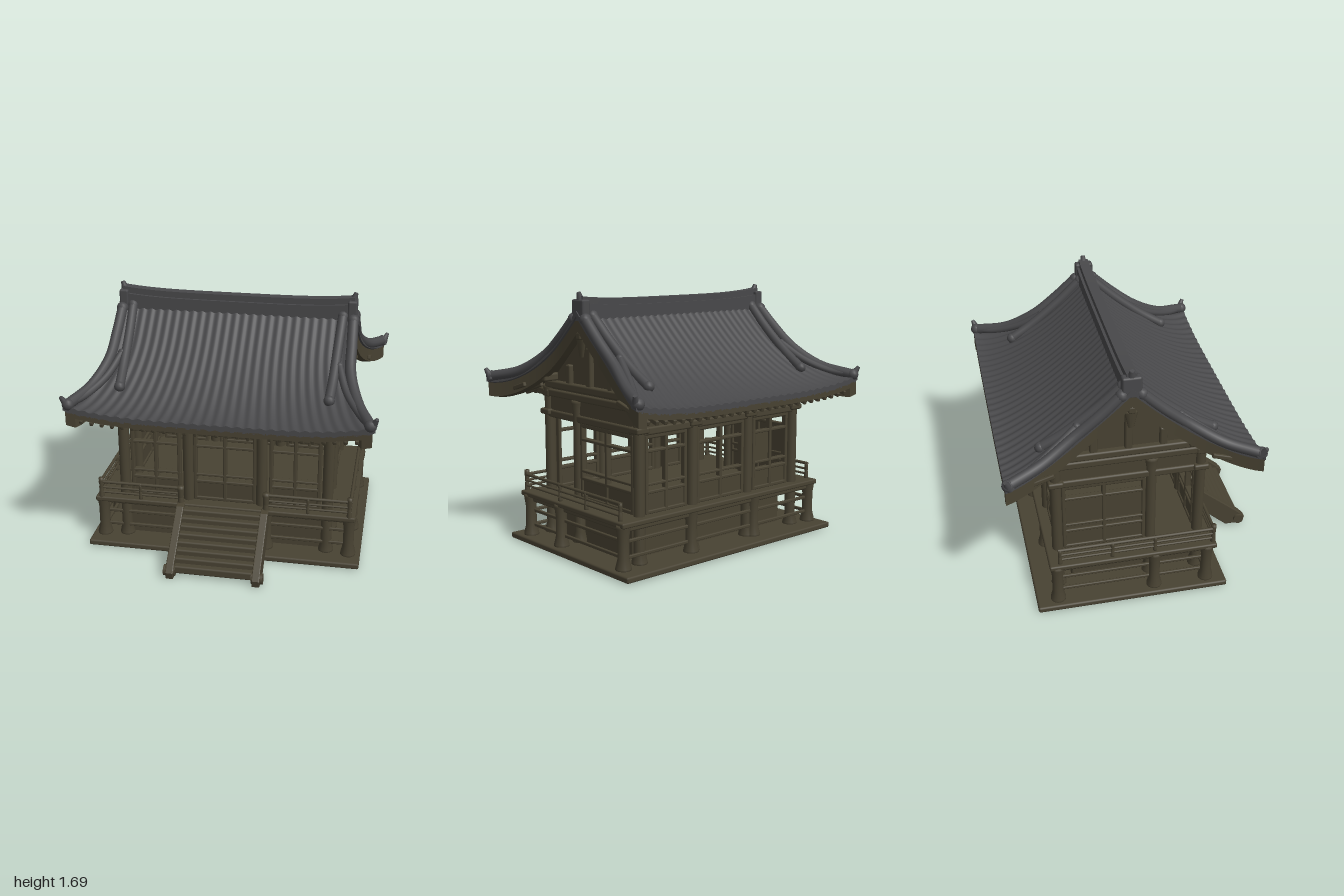
import * as THREE from 'three';
import { RoundedBoxGeometry } from 'three/addons/geometries/RoundedBoxGeometry.js';

const wood = new THREE.MeshStandardMaterial({ color: 0x484232 });
wood.name = 'dark weathered wood';
const tile = new THREE.MeshStandardMaterial({ color: 0x48484a });
tile.name = 'charcoal roof tile';

const MID = -0.07;   // z of the ridge
const RUN = 0.79;    // ridge to eave, in plan

function add(parent, name, geometry, material, x = 0, y = 0, z = 0) {
  const mesh = new THREE.Mesh(geometry, material);
  mesh.name = name;
  mesh.position.set(x, y, z);
  parent.add(mesh);
  return mesh;
}

function box(parent, name, w, h, d, x, y, z, material = wood) {
  const r = Math.min(0.012, Math.min(w, h, d) * 0.3);
  return add(parent, name, new RoundedBoxGeometry(w, h, d, 1, r), material, x, y, z);
}

// Round post that swells at both ends
function post(parent, name, x, z, y0, y1, r, foot = 1.4, head = 1.25) {
  const h = y1 - y0;
  const profile = [[0, 0], [r * foot, 0], [r * foot, 0.02], [r, 0.08], [r, h - 0.08], [r * head, h - 0.02], [r * head, h], [0, h]]
    .map(([a, b]) => new THREE.Vector2(a, b));
  return add(parent, name, new THREE.LatheGeometry(profile, 14), wood, x, y0, z);
}

// Roof shape: half width and height at distance d from the ridge
const halfWidth = (d) => 0.8 + 0.17 * Math.pow(Math.max(0, (d - 0.2) / 0.59), 1.8);
const roofY = (u, d) => 1.03 + 0.53 * Math.pow(Math.max(0, 1 - d / RUN), 1.5)
  + 0.06 * Math.pow(d / RUN, 3) * Math.pow(Math.abs(u), 4);

// Bends a box onto the roof shape, between two edges u0..u1 and two offsets
function roofLayer(parent, name, u0, u1, top, bottom, nx, material, ripple = 0) {
  const g = new THREE.BoxGeometry(1, 1, 2, nx, 1, 40);
  const p = g.attributes.position;
  for (let i = 0; i < p.count; i++) {
    const u = u0 + (p.getX(i) + 0.5) * (u1 - u0);
    const v = p.getZ(i), d = Math.abs(v) * RUN;
    const wave = ripple * Math.cos(u * Math.PI * 28);
    p.setXYZ(i, u * halfWidth(d), roofY(u, d) + (p.getY(i) > 0 ? top : bottom) + wave, MID + v * RUN);
  }
  g.computeVertexNormals();
  return add(parent, name, g, material);
}

function roofTube(parent, name, points, side, r, lift) {
  const pts = points.map(([x, d]) => new THREE.Vector3(x, roofY(x / halfWidth(d), d) + lift, MID + side * d));
  const curve = new THREE.CatmullRomCurve3(pts);
  add(parent, name, new THREE.TubeGeometry(curve, 24, r, 10), tile);
  for (const e of [pts[0], pts[pts.length - 1]]) {
    add(parent, name + 'End', new THREE.SphereGeometry(r * 1.12, 12, 8), tile, e.x, e.y, e.z);
  }
}

// Lattice screen in the xy plane, from floor to lintel
function lattice(parent, name, w, x, z, turn = 0) {
  const g = new THREE.Group();
  g.name = name;
  g.position.set(x, 0, z);
  g.rotation.y = turn;
  parent.add(g);
  box(g, 'lowerPanel', w, 0.14, 0.02, 0, 0.41, 0);
  for (const [y, h] of [[0.35, 0.025], [0.475, 0.022], [0.525, 0.018], [0.732, 0.02], [0.825, 0.035]]) {
    box(g, 'screenRail', w, h, 0.04, 0, y, 0);
  }
  for (const s of [-1, 0, 1]) box(g, 'screenStile', 0.025, 0.5, 0.04, s * (w / 2 - 0.012), 0.585, 0);
  return g;
}

export function createModel() {
  const model = new THREE.Group();
  model.name = 'shrineHall';
  const group = (name) => {
    const g = new THREE.Group();
    g.name = name;
    model.add(g);
    return g;
  };

  // Base and veranda
  const base = group('base');
  box(base, 'groundSlab', 1.82, 0.04, 1.26, 0, 0.02, MID);
  box(base, 'verandaDeck', 1.74, 0.035, 1.1, 0, 0.322, MID + 0.01);
  box(base, 'verandaBeam', 1.68, 0.04, 1.02, 0, 0.29, MID);
  box(base, 'foundation', 1.32, 0.28, 0.82, 0, 0.16, -0.03);
  for (const x of [-0.83, -0.28, 0.28, 0.83]) {
    for (const z of [0.43, -0.56]) post(base, 'verandaPost', x, z, 0.03, 0.32, 0.036);
  }
  for (const s of [-1, 1]) {
    post(base, 'verandaPost', s * 0.83, 0.08, 0.03, 0.32, 0.036);
    for (const y of [0.11, 0.21]) {
      box(base, 'sideTieRail', 0.02, 0.022, 1.0, s * 0.82, y, MID);
      box(base, 'backTieRail', 0.56, 0.022, 0.02, s * 0.55, y, -0.56);
      box(base, 'frontTieRail', 0.56, 0.022, 0.02, s * 0.55, y, 0.42);
    }
  }
  for (const y of [0.11, 0.21]) box(base, 'backTieRail', 0.56, 0.022, 0.02, 0, y, -0.56);

  // Stairs
  const stairs = group('stairs');
  const stringer = new THREE.Shape([[0.48, 0.34], [0.53, 0.335], [0.83, 0.085], [0.87, 0.04], [0.86, 0], [0.74, 0], [0.48, 0.23]]
    .map(([a, b]) => new THREE.Vector2(a, b)));
  for (const s of [-1, 1]) {
    const g = new THREE.ExtrudeGeometry(stringer, { depth: 0.04, bevelSize: 0.006, bevelThickness: 0.006, bevelSegments: 2 });
    add(stairs, 'stringer', g, wood, s * 0.28 - 0.02).rotation.y = -Math.PI / 2;
    stairs.children.at(-1).position.x = s * 0.28 + 0.02;
    const foot = add(stairs, 'stringerFoot', new THREE.CylinderGeometry(0.036, 0.036, 0.075, 14), wood, s * 0.285, 0.037, 0.828);
    foot.rotation.z = Math.PI / 2;
    post(stairs, 'newelPost', s * 0.285, 0.47, 0.3, 0.46, 0.018);
  }
  for (let i = 0; i < 8; i++) {
    box(stairs, 'step', 0.54, 0.055, 0.07, 0, 0.045 + i * 0.036, 0.8 - i * 0.042);
  }

  // Railings
  const railing = group('railing');
  for (const s of [-1, 1]) {
    for (const [y, r] of [[0.37, 0.008], [0.405, 0.008], [0.445, 0.011]]) {
      const front = add(railing, 'frontRail', new THREE.CylinderGeometry(r, r, 0.56, 8), wood, s * 0.565, y, 0.47);
      front.rotation.z = Math.PI / 2;
      const side = add(railing, 'sideRail', new THREE.CylinderGeometry(r, r, 1.02, 8), wood, s * 0.835, y, -0.04);
      side.rotation.x = Math.PI / 2;
    }
    post(railing, 'cornerRailPost', s * 0.83, 0.47, 0.32, 0.475, 0.013);
    post(railing, 'frontRailPost', s * 0.56, 0.47, 0.33, 0.45, 0.009);
    for (const z of [0.08, -0.2, -0.54]) post(railing, 'sideRailPost', s * 0.835, z, 0.33, 0.45, 0.01);
  }

  // Columns, brackets and beams
  const frame = group('frame');
  for (const z of [0.4, -0.53]) {
    const out = z > 0 ? 1 : -1;
    for (const x of [-0.68, -0.245, 0.245, 0.68]) {
      post(frame, 'column', x, z, 0.03, 1.05, 0.036);
      box(frame, 'bracket', 0.1, 0.04, 0.1, x, 0.87, z);
      box(frame, 'eaveBracket', 0.05, 0.05, 0.16, x, 1.0, z + out * 0.04);
    }
    box(frame, 'lintel', 1.38, 0.05, 0.06, 0, 0.86, z);
    box(frame, 'frieze', 1.36, 0.16, 0.03, 0, 0.92, z);
    box(frame, 'eavePurlin', 1.44, 0.05, 0.07, 0, 0.995, z);
  }
  for (const s of [-1, 1]) {
    const x = s * 0.68;
    post(frame, 'sideColumn', x, 0.08, 0.03, 0.98, 0.036);
    box(frame, 'sideLintel', 0.06, 0.05, 0.94, x, 0.86, -0.065);
    box(frame, 'sideFrieze', 0.03, 0.24, 0.93, x, 0.95, -0.065);
    box(frame, 'sideTieBeam', 0.07, 0.05, 1.06, x, 1.0, -0.065);
    box(frame, 'gableBeam', 0.09, 0.05, 0.94, x, 1.06, MID);
  }
  box(frame, 'ceiling', 1.36, 0.02, 0.92, 0, 0.97, -0.065);

  // Screens
  const walls = group('walls');
  for (const z of [0.39, -0.52]) {
    for (const [x, w] of [[-0.465, 0.34], [0, 0.42], [0.465, 0.34]]) lattice(walls, 'latticeScreen', w, x, z);
  }
  box(walls, 'shutter', 0.16, 0.21, 0.012, -0.385, 0.63, -0.52);
  for (const s of [-1, 1]) lattice(walls, 'sideScreen', 0.54, s * 0.68, -0.225, Math.PI / 2);
  box(walls, 'sidePanel', 0.012, 0.26, 0.54, -0.68, 0.6, -0.225);

  // Gables
  const gables = group('gables');
  const gableShape = new THREE.Shape([[-0.44, 1.07], [0.44, 1.07], [0.3, 1.2], [0.15, 1.34], [0, 1.48], [-0.15, 1.34], [-0.3, 1.2]]
    .map(([a, b]) => new THREE.Vector2(a, b)));
  for (const s of [-1, 1]) {
    const wall = add(gables, 'gableWall', new THREE.ExtrudeGeometry(gableShape, { depth: 0.03, bevelEnabled: false }), wood, s * 0.67 - 0.015, 0, MID);
    wall.rotation.y = Math.PI / 2;
    for (const z of [-0.22, 0, 0.22]) box(gables, 'gablePost', 0.05, z ? 0.13 : 0.26, 0.05, s * 0.69, z ? 1.14 : 1.2, MID + z);
    const drop = add(gables, 'gablePendant', new THREE.CylinderGeometry(0.042, 0.018, 0.11, 10), wood, s * 0.76, 1.33, MID);
    drop.scale.x = 0.5;
    for (const z of [0.32, -0.46, MID]) box(gables, 'purlinEnd', 0.14, 0.05, 0.05, s * 0.72, z === MID ? 1.41 : 1.11, z);
  }

  // Roof surfaces
  const roof = group('roof');
  roofLayer(roof, 'roofTiles', -1, 1, 0, -0.035, 224, tile, 0.005);
  roofLayer(roof, 'roofBoards', -0.985, 0.985, -0.03, -0.065, 24, wood);
  for (const s of [-1, 1]) {
    const [a, b] = s < 0 ? [-0.985, -0.92] : [0.92, 0.985];
    roofLayer(roof, 'bargeboard', a, b, -0.04, -0.125, 2, wood);
  }

  // Rafters and tile ends along both eaves
  for (const side of [-1, 1]) {
    for (let i = -13; i <= 13; i++) {
      const u = i / 14;
      const rafter = box(roof, 'rafter', 0.025, 0.03, 0.3, u * 0.93, roofY(u, 0.64) - 0.078, MID + side * 0.63);
      rafter.rotation.x = side * 0.3;
      const end = add(roof, 'tileEnd', new THREE.CylinderGeometry(0.02, 0.02, 0.03, 10), tile, u * halfWidth(RUN), roofY(u, RUN) - 0.016, MID + side * 0.775);
      end.rotation.x = Math.PI / 2;
    }
  }

  // Main ridge, rising at its ends
  const ridge = group('ridge');
  const ridgeBar = (name, w, h, y) => {
    const g = new THREE.BoxGeometry(1.54, h, w, 32, 1, 1);
    const p = g.attributes.position;
    for (let i = 0; i < p.count; i++) p.setY(i, p.getY(i) + 0.025 * Math.pow(Math.abs(p.getX(i)) / 0.77, 4));
    g.computeVertexNormals();
    add(ridge, name, g, tile, 0, y, MID);
  };
  ridgeBar('ridgeBase', 0.1, 0.1, 1.54);
  ridgeBar('ridgeCap', 0.065, 0.06, 1.6);
  for (const s of [-1, 1]) {
    box(ridge, 'ridgeEndTile', 0.06, 0.14, 0.12, s * 0.76, 1.565, MID, tile);
    const horn = add(ridge, 'ridgeHorn', new THREE.CylinderGeometry(0.014, 0.032, 0.08, 10), tile, s * 0.765, 1.64, MID);
    horn.rotation.z = -s * 0.3;
  }

  // Descending ridges, verge ridges and corner tips
  for (const s of [-1, 1]) {
    for (const side of [-1, 1]) {
      roofTube(ridge, 'descendingRidge', [[s * 0.7, 0.04], [s * 0.69, 0.2], [s * 0.68, 0.4], [s * 0.67, 0.54]], side, 0.032, 0.012);
      roofTube(ridge, 'vergeRidge', [[s * 0.77, 0.06], [s * 0.775, 0.2], [s * 0.785, 0.36], [s * 0.85, 0.56], [s * 0.94, 0.77]], side, 0.035, 0.012);
      roofTube(ridge, 'cornerRidge', [[s * 0.71, 0.32], [s * 0.77, 0.48], [s * 0.86, 0.64], [s * 0.93, 0.76]], side, 0.024, 0.016);
      const tip = add(ridge, 'cornerTip', new THREE.CylinderGeometry(0.012, 0.03, 0.08, 10), tile, s * 0.962, 1.115, MID + side * 0.775);
      tip.rotation.set(side * 0.4, 0, -s * 0.4);
    }
  }
  return model;
}
